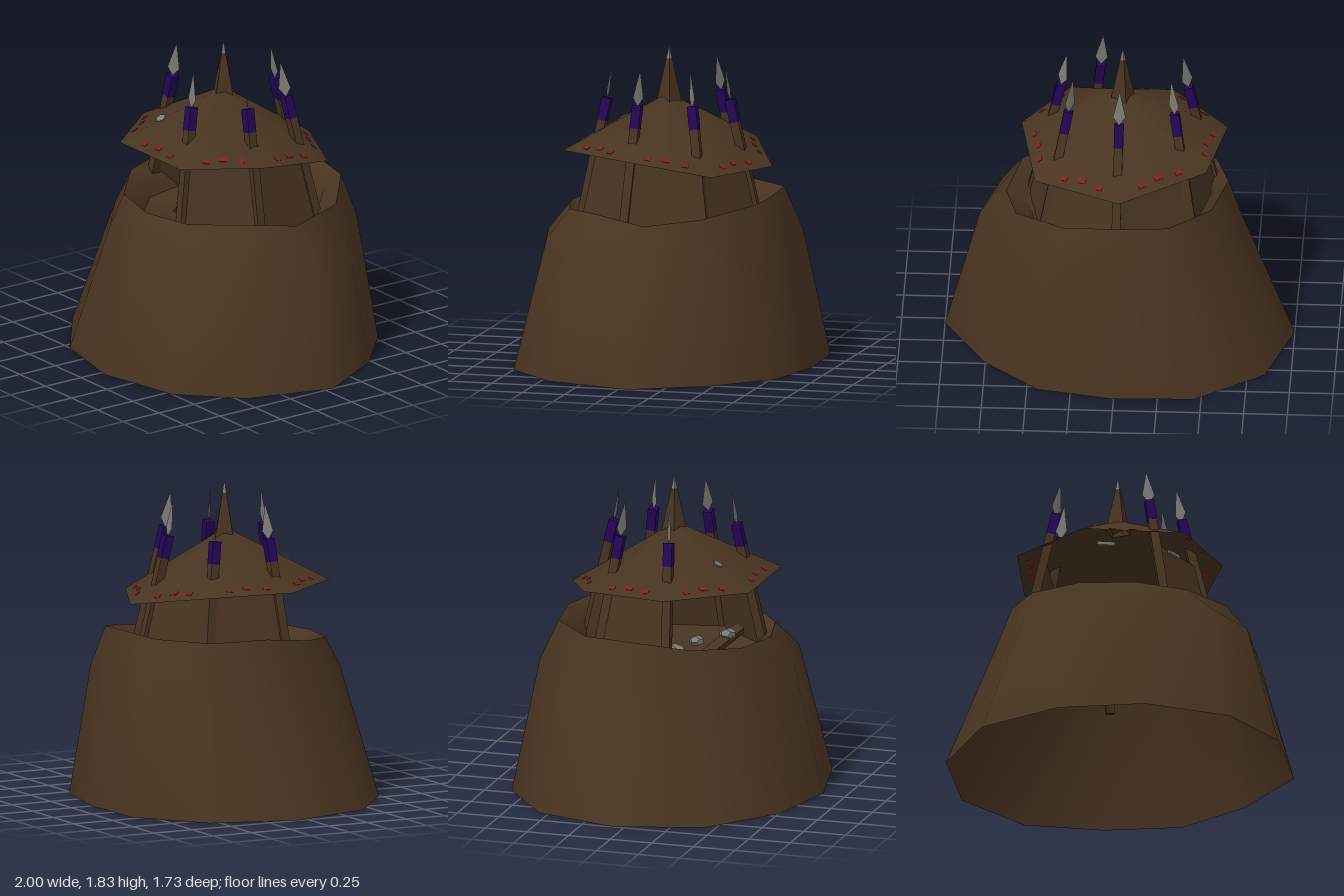
import * as THREE from 'three';
import { toCreasedNormals } from 'three/addons/utils/BufferGeometryUtils.js';

const V = (x, y, z) => new THREE.Vector3(x, y, z);
const mat = (name, color) => {
  const m = new THREE.MeshStandardMaterial({ color, side: THREE.DoubleSide });
  m.name = name;
  return m;
};

// Skin a stack of equal-length closed rings, ordered bottom to top
function loft(rings, crease) {
  const n = rings[0].length, pos = [], idx = [];
  rings.forEach(r => r.forEach(p => pos.push(p.x, p.y, p.z)));
  for (let k = 0; k < rings.length - 1; k++) {
    for (let i = 0; i < n; i++) {
      const a = k * n + i, b = k * n + (i + 1) % n;
      idx.push(a, b, a + n, b, b + n, a + n);
    }
  }
  const g = new THREE.BufferGeometry();
  g.setAttribute('position', new THREE.Float32BufferAttribute(pos, 3));
  g.setIndex(idx);
  return toCreasedNormals(g, crease);
}

export function createModel() {
  const brown = mat('earthBrown', 0x483421);
  const purple = mat('purpleWrap', 0x240656);
  const grey = mat('stoneGrey', 0x7c7a76);
  const red = mat('redPaint', 0x8a1a1c);
  const model = new THREE.Group();
  const add = (name, geo, m, parent = model) => {
    const mesh = new THREE.Mesh(geo, m);
    mesh.name = name;
    parent.add(mesh);
    return mesh;
  };

  // Beam with a square section between two points
  const beam = (name, a, b, w, m, parent = model) => {
    const mesh = add(name, new THREE.BoxGeometry(w, a.distanceTo(b), w), m, parent);
    mesh.position.copy(a).add(b).multiplyScalar(0.5);
    mesh.quaternion.setFromUnitVectors(V(0, 1, 0), b.clone().sub(a).normalize());
  };

  // Mound: irregular twelve-sided foot, shoulder and rim, counter-clockwise from above
  const foot = [[-1, -.06], [-.85, .44], [-.45, .75], [.04, .86], [.54, .75], [.85, .45],
    [1, -.05], [.76, -.48], [.44, -.78], [0, -.87], [-.46, -.85], [-.85, -.56]]
    .map(([x, z]) => V(x, 0, z));
  const rim = [[-.62, .99, -.06], [-.54, .95, .25], [-.3, .92, .48], [.02, .91, .55], [.32, .91, .48],
    [.57, .93, .25], [.65, .885, -.05], [.58, .93, -.38], [.3, .98, -.62], [0, 1, -.66],
    [-.3, .99, -.62], [-.54, .98, -.38]].map(p => V(...p));
  const shoulder = foot.map(p => V(p.x * .755 + .045, .75, p.z * .82 - .035));
  add('mound', loft([foot, shoulder, rim], 1.5), brown);

  // Crater: sloping ledge inside the rim, then a drop to the floor
  const ledge = rim.map(p => V(p.x * .86, p.y - .07, p.z * .86));
  const pit = rim.map(p => V(p.x * .8, .8, p.z * .8));
  add('crater', loft([rim, ledge, pit, pit.map(() => V(0, .8, 0))], .9), brown);

  // Leaning posts, each [x, z] at height 0.95 then [x, z] at height 1.53
  const posts = [[0, -.52, -.01, -.38], [.4, -.33, .285, -.24], [.48, .1, .34, .07],
    [.19, .42, .125, .31], [-.52, .1, -.385, .07], [-.41, -.33, -.32, -.24]];
  const at = (p, y) => {
    const t = (y - .95) / .58;
    return V(p[0] + (p[2] - p[0]) * t, y, p[1] + (p[3] - p[1]) * t);
  };
  const blade = new THREE.BufferGeometry();
  blade.setAttribute('position', new THREE.Float32BufferAttribute(
    [0, 0, .004, .036, .05, 0, 0, .21, 0, -.036, .05, 0, 0, 0, -.004], 3));
  blade.setIndex([0, 1, 2, 0, 2, 3, 4, 2, 1, 4, 3, 2]);
  const bladeGeo = toCreasedNormals(blade, .3);
  const turns = [0, .7, -.7, 0, .6, -.6];
  posts.forEach((p, i) => {
    const spear = new THREE.Group();
    spear.name = 'spearPost';
    model.add(spear);
    beam('postShaft', at(p, .61), at(p, 1.41), .05, brown, spear);
    beam('postWrap', at(p, 1.4), at(p, 1.53), .053, purple, spear);
    const head = add('spearHead', bladeGeo, grey, spear);
    const lean = at(p, 2).sub(at(p, 1));
    head.position.copy(at(p, 1.525));
    head.quaternion.setFromUnitVectors(V(0, 1, 0), V(lean.x * .65, 1, lean.z * .65).normalize());
    head.rotateY(turns[i]);
  });

  // Wall panels between neighbouring posts, leaving the front open
  [[0, 1], [1, 2], [2, 3], [4, 5], [5, 0]].forEach(([a, b]) => {
    const ring = y => {
      const p = at(posts[a], y), q = at(posts[b], y);
      const out = V(p.x + q.x, 0, p.z + q.z).normalize().multiplyScalar(.012);
      return [p.clone().sub(out), q.clone().sub(out), q.clone().add(out), p.clone().add(out)];
    };
    add('wallPanel', loft([ring(.75), ring(1.235)], .1), brown);
  });

  // Seven-sided sagging roof
  const apex = V(-.01, 1.55, -.01);
  const eaves = [[-.02, 1.15, -.63], [-.51, 1.235, -.4], [-.61, 1.245, .11], [-.28, 1.245, .52],
    [.31, 1.245, .52], [.57, 1.245, .11], [.47, 1.155, -.4]].map(p => V(...p));
  add('roof', loft([eaves, eaves.map(() => apex.clone())], 1), brown);

  // Painted dabs lying flush along the eaves
  eaves.forEach((a, i) => {
    const b = eaves[(i + 1) % 7];
    const along = b.clone().sub(a).normalize();
    const normal = along.clone().cross(apex.clone().sub(a)).normalize();
    const basis = new THREE.Matrix4().makeBasis(along, normal, along.clone().cross(normal));
    [.28, .5, .74].forEach((t, k) => {
      const dab = add('paintDab', new THREE.BoxGeometry(k === 1 ? .045 : .036, .003, .027), red);
      dab.position.copy(a).lerp(b, t).lerp(apex, .09 + .02 * (k % 2)).addScaledVector(normal, .001);
      dab.quaternion.setFromRotationMatrix(basis);
    });
  });

  // Pointed finial with a grey tip
  const finial = new THREE.Group();
  finial.name = 'finial';
  finial.position.set(-.015, 0, -.018);
  finial.rotation.y = .3;
  model.add(finial);
  const square = (r, y) => [V(-r, y, 0), V(0, y, r), V(r, y, 0), V(0, y, -r)];
  add('finialShaft', loft([square(.076, 1.48), square(.017, 1.75)], .5), brown, finial);
  add('finialTip', loft([square(.017, 1.75), square(0, 1.83)], .5), grey, finial);

  // Stones and a fallen log at the open doorway
  [[.02, .9, .29, .05], [-.21, .83, .04, .075], [-.03, .86, .12, .045]].forEach(([x, y, z, r]) => {
    const stone = add('stone', new THREE.DodecahedronGeometry(r), grey);
    stone.scale.y = .7;
    stone.position.set(x, y, z);
  });
  beam('fallenLog', V(-.14, .8, .2), V(.1, .92, .34), .055, brown);

  // Grey chips: one flush on the roof, two under the eaves
  const chip = add('roofChip', new THREE.CylinderGeometry(.03, .03, .006, 6), grey);
  chip.position.set(-.185, 1.373, .3);
  chip.rotation.x = .52;
  [[-.13, .37, 0], [.27, .27, .8]].forEach(([x, z, turn]) => {
    const eaveChip = add('eaveChip', new THREE.BoxGeometry(.1, .02, .02), grey);
    eaveChip.position.set(x, 1.225, z);
    eaveChip.rotation.y = turn;
  });

  return model;
}
